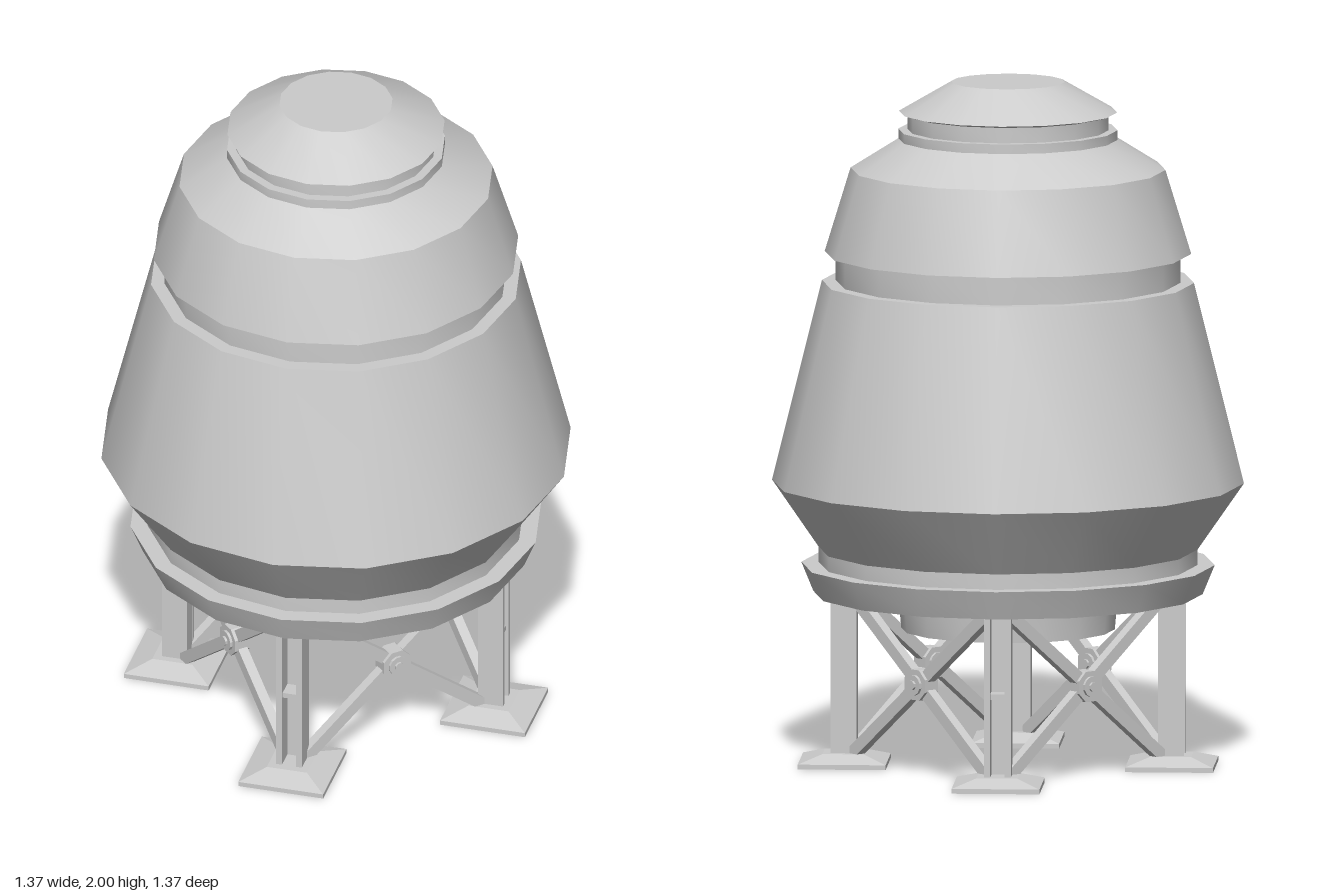
import * as THREE from 'three';
import { toCreasedNormals } from 'three/addons/utils/BufferGeometryUtils.js';

const material = new THREE.MeshStandardMaterial({ color: 0xcccccc });

function part(name, geometry, parent, x = 0, y = 0, z = 0) {
  const mesh = new THREE.Mesh(geometry, material);
  mesh.name = name;
  mesh.position.set(x, y, z);
  parent.add(mesh);
  return mesh;
}

// Sixteen-sided turned shape, smooth around and sharp between bands
function turned(profile) {
  const points = profile.map(([r, y]) => new THREE.Vector2(r, y));
  return toCreasedNormals(new THREE.LatheGeometry(points, 16), 0.45);
}

// Low-poly cylinder with sharp edges
function faceted(rTop, rBottom, height, sides) {
  return toCreasedNormals(new THREE.CylinderGeometry(rTop, rBottom, height, sides), 0.3);
}

// Channel-section leg with its foot; local +z points outwards
function makeLeg() {
  const leg = new THREE.Group();
  leg.name = 'leg';
  part('legWeb', new THREE.BoxGeometry(0.078, 0.49, 0.016), leg, 0, 0.27, -0.029);
  for (const side of [-1, 1]) {
    part('legFlange', new THREE.BoxGeometry(0.018, 0.49, 0.075), leg, side * 0.03, 0.27, 0);
  }
  part('legRung', new THREE.BoxGeometry(0.05, 0.016, 0.06), leg, 0, 0.27, 0);
  part('footPlate', new THREE.BoxGeometry(0.255, 0.014, 0.255), leg, 0, 0.007, 0);
  const slope = faceted(0.085, 0.18, 0.022, 4);
  slope.rotateY(Math.PI / 4);
  part('footSlope', slope, leg, 0, 0.025, 0);
  return leg;
}

// Crossed bars with a bolted hub, facing local +z
function makeBrace() {
  const brace = new THREE.Group();
  brace.name = 'crossBrace';
  for (const side of [-1, 1]) {
    const bar = part('braceBar', new THREE.BoxGeometry(0.75, 0.036, 0.03), brace, 0, 0.268, 0);
    bar.rotation.z = side * Math.atan2(0.46, 0.58);
  }
  for (const [name, radius, length, sides] of [
    ['hub', 0.048, 0.05, 8], ['hubCollar', 0.03, 0.066, 12], ['hubBolt', 0.014, 0.08, 8],
  ]) {
    const disc = faceted(radius, radius, length, sides);
    disc.rotateY(Math.PI / sides);
    disc.rotateX(Math.PI / 2);
    part(name, disc, brace, 0, 0.268, 0);
  }
  return brace;
}

export function createModel() {
  const model = new THREE.Group();
  model.name = 'capsule';

  // Body, from the base ring up to the cap
  part('baseRing', turned([[0, 0.505], [0.565, 0.505], [0.6, 0.59], [0.545, 0.59]]), model);
  part('hull', turned([
    [0.55, 0.58], [0.55, 0.635], [0.685, 0.83], [0.54, 1.415], [0.5, 1.415],
    [0.5, 1.5], [0.532, 1.5], [0.457, 1.745], [0.318, 1.832],
  ]), model);
  part('hatch', turned([
    [0.318, 1.83], [0.318, 1.86], [0.292, 1.86], [0.292, 1.905],
    [0.317, 1.912], [0.165, 2], [0, 2],
  ]), model);
  part('nozzle', turned([[0, 0.4], [0.31, 0.4], [0.32, 0.51]]), model);

  // Four legs on the diagonals, braces between them
  for (let i = 0; i < 4; i++) {
    const side = new THREE.Group();
    side.name = 'legSide';
    side.rotation.y = i * Math.PI / 2;
    const leg = makeLeg();
    leg.position.set(0.336, 0, 0.336);
    leg.rotation.y = Math.PI / 4;
    const brace = makeBrace();
    brace.position.z = 0.336;
    side.add(leg, brace);
    model.add(side);
  }
  return model;
}
